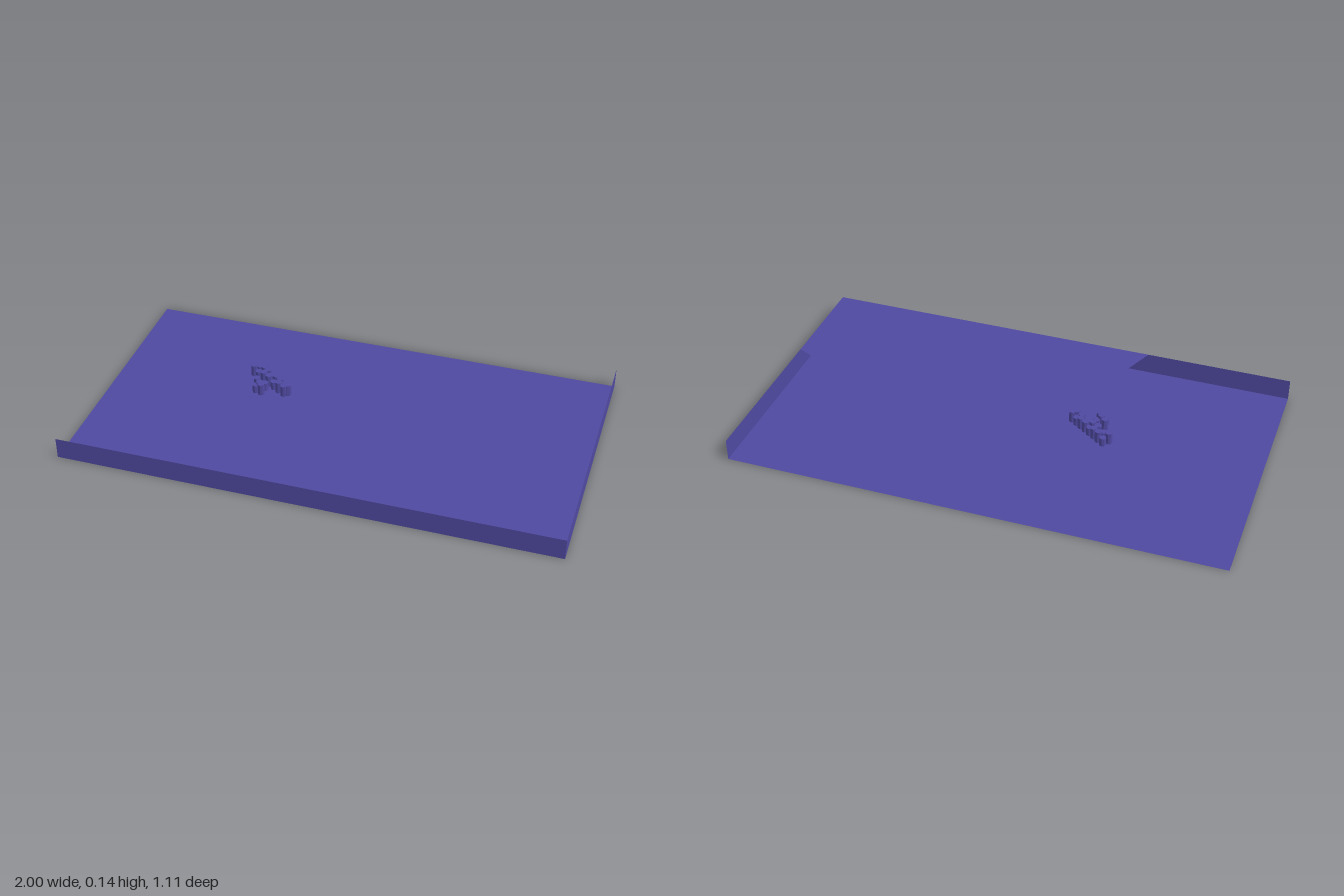
import * as THREE from 'three';

const WIDTH = 2, DEPTH = 1.11, LEVEL = 0.088;

// Cliff line of the upper level as [x, z], from the front edge to the right-hand edge
const CLIFF = [
  [-0.4, 0.555], [-0.27, 0.245], [-0.62, 0.21], [-0.74, 0.15], [-0.74, 0.035],
  [-0.47, 0.02], [-0.44, -0.16], [0.01, 0.09], [0.045, 0.24], [-0.11, 0.24],
  [-0.095, 0.355], [0.255, 0.33], [0.27, 0.02], [0.105, -0.075], [0.49, -0.04],
  [0.585, 0.115], [0.74, -0.005], [1, 0.12],
];

export function createModel() {
  const group = new THREE.Group();
  const material = new THREE.MeshStandardMaterial({
    color: 0x4f49a0, flatShading: true, side: THREE.DoubleSide,
  });
  const add = (name, geometry, x, y, z, parent = group) => {
    const mesh = new THREE.Mesh(geometry, material);
    mesh.name = name;
    mesh.position.set(x, y, z);
    parent.add(mesh);
    return mesh;
  };

  // Lower level: a thin sheet over the whole footprint
  add('lowerGround', new THREE.PlaneGeometry(WIDTH, DEPTH).rotateX(-Math.PI / 2), 0, 0, 0);

  // Upper level: a thin sheet bounded by the cliff line and the front corner
  const outline = [...CLIFF, [1, 0.555]].map(([x, z]) => new THREE.Vector2(x, -z));
  const plateau = new THREE.ShapeGeometry(new THREE.Shape(outline)).rotateX(-Math.PI / 2);
  add('upperGround', plateau, 0, LEVEL, 0);

  // Thin walls on the front and on the +x side
  add('frontWall', new THREE.PlaneGeometry(WIDTH, LEVEL), 0, LEVEL / 2, DEPTH / 2);
  add('sideWall', new THREE.PlaneGeometry(DEPTH, LEVEL).rotateY(Math.PI / 2), WIDTH / 2, LEVEL / 2, 0);

  // Cluster of small drums beside the cliff: two rows and a clump
  const drums = new THREE.Group();
  drums.name = 'drumCluster';
  group.add(drums);
  const addDrum = (x, z, height) =>
    add('drum', new THREE.CylinderGeometry(0.014, 0.014, height, 8), x, LEVEL + height / 2, z, drums);

  for (let i = 0; i < 8; i++) {
    const t = i / 7;
    addDrum(-0.39 + 0.155 * t, -0.1 + 0.11 * t, i % 3 === 0 ? 0.034 : 0.047);
  }
  for (let i = 0; i < 7; i++) {
    const t = i / 6;
    addDrum(-0.41 + 0.16 * t, -0.08 + 0.1 * t, i % 3 === 1 ? 0.034 : 0.047);
  }
  const clump = [[-0.37, 0], [-0.335, 0.005], [-0.35, 0.022], [-0.365, 0.03], [-0.34, 0.037]];
  clump.forEach(([x, z], i) => addDrum(x, z, i % 2 ? 0.034 : 0.047));

  return group;
}
